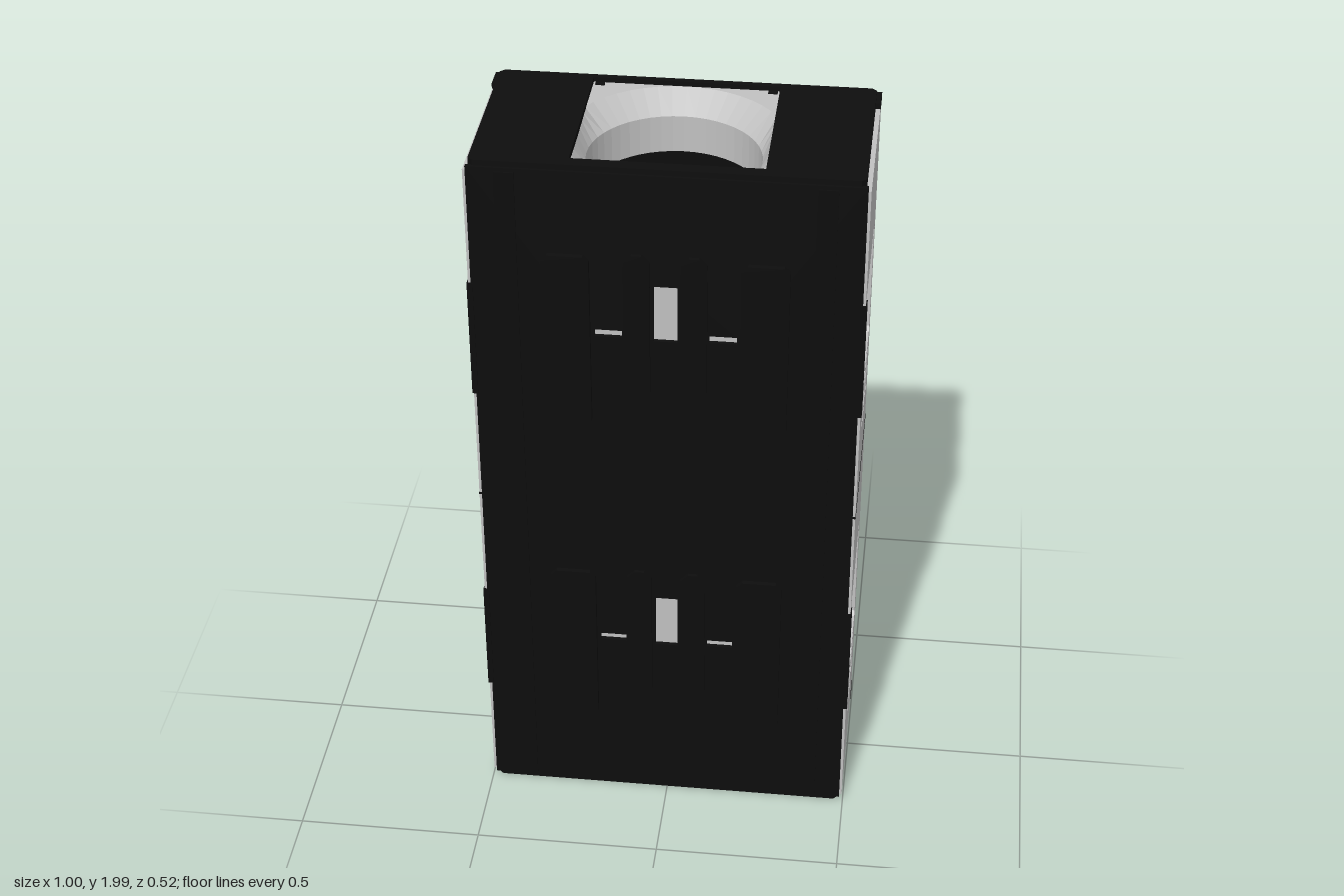
import * as THREE from 'three';

export function createModel() {
  const model = new THREE.Group();
  model.name = 'stackedModules';
  const black = new THREE.MeshStandardMaterial({ color: 0x0d0d0d, side: THREE.DoubleSide });
  black.name = 'blackShell';
  const grey = new THREE.MeshStandardMaterial({ color: 0xc0c0c0, side: THREE.DoubleSide });
  grey.name = 'lightGrey';

  const add = (parent, name, geo, mat) => {
    const m = new THREE.Mesh(geo, mat);
    m.name = name;
    parent.add(m);
    return m;
  };
  // Box given by its limits on each axis
  const box = (parent, name, mat, x0, x1, y0, y1, z0, z1) => {
    const m = add(parent, name, new THREE.BoxGeometry(x1 - x0, y1 - y0, z1 - z0), mat);
    m.position.set((x0 + x1) / 2, (y0 + y1) / 2, (z0 + z1) / 2);
    return m;
  };
  // Rectangle with corners cut by c
  const rect = (T, x0, x1, y0, y1, c = 0) => {
    const pts = c
      ? [[x0 + c, y0], [x1 - c, y0], [x1, y0 + c], [x1, y1 - c], [x1 - c, y1], [x0 + c, y1], [x0, y1 - c], [x0, y0 + c]]
      : [[x0, y0], [x1, y0], [x1, y1], [x0, y1]];
    return new T(pts.map(p => new THREE.Vector2(...p)));
  };
  const plate = (outline, holes, depth) => {
    outline.holes = holes;
    return new THREE.ExtrudeGeometry(outline, { depth, bevelEnabled: false });
  };
  const levels = [0.98, 0]; // upper and lower module offsets

  // Front panel with slots cut through to a grey backing
  const slots = [];
  for (const y of levels) {
    slots.push(rect(THREE.Path, -0.03, 0.03, 0.53 + y, 0.69 + y));
    slots.push(rect(THREE.Path, -0.18, -0.11, 0.535 + y, 0.555 + y));
    slots.push(rect(THREE.Path, 0.11, 0.18, 0.535 + y, 0.555 + y));
  }
  const front = add(model, 'frontPanel', plate(rect(THREE.Shape, -0.49, 0.49, 0.02, 1.98), slots, 0.012), black);
  front.position.z = 0.235;
  box(model, 'frontLiner', black, -0.48, 0.48, 0.03, 1.97, 0.212, 0.222);
  for (const y of levels) {
    box(model, 'slotBacking', grey, -0.2, 0.2, 0.5 + y, 0.72 + y, 0.225, 0.236);
    for (const s of [-1, 1]) {
      // Rounded rib beside the centre slot
      const rib = add(model, 'frontRib', plate(rect(THREE.Shape, -0.033, 0.033, 0.36 + y, 0.78 + y, 0.02), [], 0.01), black);
      rib.position.set(s * 0.072, 0, 0.247);
      // Raised block outside the horizontal slot
      const block = add(model, 'frontBlock', plate(rect(THREE.Shape, -0.06, 0.06, 0.27 + y, 0.77 + y, 0.015), [], 0.014), black);
      block.position.set(s * 0.25, 0, 0.247);
    }
  }
  for (const s of [-1, 1]) {
    const strip = box(model, 'frontStrip', black, -0.025, 0.025, 0.03, 1.97, 0.245, 0.251);
    strip.position.x = s * 0.395;
  }

  // Back panel with four chamfered pads
  box(model, 'backPanel', black, -0.495, 0.495, 0.02, 1.98, -0.25, -0.235);
  for (const y of [0.27, 0.77, 1.25, 1.73]) {
    const profile = new THREE.Shape([[-0.08, 0], [0.08, 0], [0.05, 0.012], [-0.08 + 0.03, 0.012]].map(p => new THREE.Vector2(...p)));
    const pad = add(model, 'backPad', plate(profile, [], 0.22), black);
    pad.rotation.x = -Math.PI / 2;
    pad.position.set(0, y - 0.11, -0.25);
  }

  // Side wall: shapes lie in (-z, y) and are extruded along x
  const makeSide = () => {
    const side = new THREE.Group();
    side.name = 'sideWall';
    const openings = [], windows = [];
    for (const c of [0.485, -0.485]) {
      openings.push(rect(THREE.Path, -0.22, 0.172, c - 0.165, c + 0.165, 0.012));
      windows.push(rect(THREE.Path, -0.205, 0.165, c - 0.13, c + 0.13, 0.015));
      for (const u of [-0.065, 0.012, 0.09]) {
        openings.push(rect(THREE.Path, u - 0.026, u + 0.026, c - 0.315, c - 0.178, 0.006));
      }
    }
    const skin = add(side, 'sideSkin', plate(rect(THREE.Shape, -0.245, 0.24, -0.97, 0.97), openings, 0.01), grey);
    skin.rotation.y = Math.PI / 2;
    skin.position.x = 0.487;
    const panel = add(side, 'sidePanel', plate(rect(THREE.Shape, -0.234, 0.234, -0.97, 0.97), windows, 0.012), grey);
    panel.rotation.y = Math.PI / 2;
    panel.position.x = 0.475;
    for (const c of [0.485, -0.485]) {
      // Window reveal running inwards
      const duct = add(side, 'windowReveal', plate(
        rect(THREE.Shape, -0.211, 0.173, c - 0.138, c + 0.138, 0.015),
        [rect(THREE.Path, -0.205, 0.165, c - 0.13, c + 0.13, 0.015)], 0.11), grey);
      duct.rotation.y = Math.PI / 2;
      duct.position.x = 0.366;
      box(side, 'windowEdge', black, 0.485, 0.5, c - 0.165, c + 0.165, 0.216, 0.25);
    }
    box(side, 'sideSeam', black, 0.49, 0.498, -0.003, 0.003, -0.24, 0.246);
    return side;
  };

  // Funnel collar: rings [radius, height] limited to the square opening
  const makeCollar = () => {
    const rings = [[0.7, 0.982], [0.285, 0.982], [0.22, 0.93], [0.22, 0.83]];
    const n = 48, pos = [], index = [];
    for (const [r, y] of rings) {
      for (let i = 0; i <= n; i++) {
        const a = (i / n) * Math.PI * 2;
        pos.push(THREE.MathUtils.clamp(r * Math.sin(a), -0.242, 0.242), y,
          THREE.MathUtils.clamp(0.055 + r * Math.cos(a), -0.232, 0.206));
      }
    }
    for (let k = 0; k < rings.length - 1; k++) {
      for (let i = 0; i < n; i++) {
        const a = k * (n + 1) + i, b = a + n + 1;
        index.push(a, a + 1, b, b, a + 1, b + 1);
      }
    }
    const g = new THREE.BufferGeometry();
    g.setAttribute('position', new THREE.Float32BufferAttribute(pos, 3));
    g.setIndex(index);
    const flat = g.toNonIndexed();
    flat.computeVertexNormals();
    return flat;
  };

  // End cap with square opening, collar and corner tabs
  const makeCap = () => {
    const cap = new THREE.Group();
    cap.name = 'endCap';
    const top = add(cap, 'capPlate', plate(
      rect(THREE.Shape, -0.485, 0.485, -0.247, 0.24, 0.012),
      [rect(THREE.Path, -0.24, 0.24, -0.23, 0.205)], 0.027), black);
    top.rotation.x = Math.PI / 2;
    top.position.y = 0.995;
    add(cap, 'collar', makeCollar(), grey);
    for (const s of [-1, 1]) {
      const tab = box(cap, 'cornerTab', black, -0.008, 0.008, 0.966, 0.985, -0.25, -0.185);
      tab.position.x = s * 0.49;
      const clip = box(cap, 'collarClip', black, -0.012, 0.012, 0.98, 0.986, -0.222, -0.212);
      clip.position.x = s * 0.222;
    }
    return cap;
  };

  // The sides and caps repeat with a half turn about the z axis
  for (const make of [makeSide, makeCap]) {
    for (const turn of [0, Math.PI]) {
      const part = make();
      part.position.y = 1;
      part.rotation.z = turn;
      model.add(part);
    }
  }
  return model;
}
